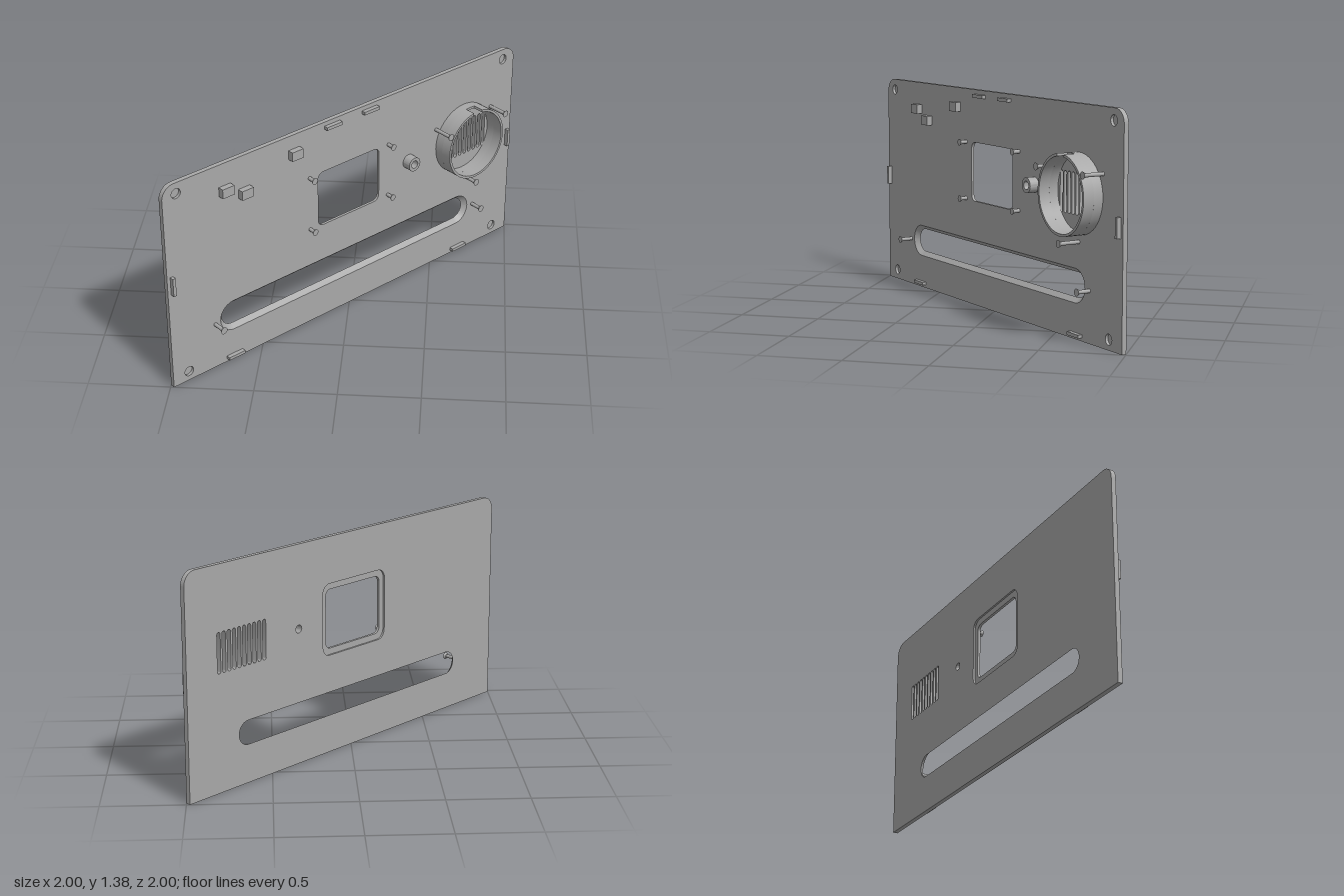
import * as THREE from 'three';
import { toCreasedNormals } from 'three/addons/utils/BufferGeometryUtils.js';

const FRONT = 0.015, BACK = -0.015, STEP = -0.003; // plate faces and recess depth
const HALF = 1.399, TOP = 1.38;
const FAN = { x: 0.96, y: 0.86 };
const SLOT = { x: -0.005, y: 0.317 };

// Outline of a box with round corners, counter-clockwise
function roundRect(cx, cy, w, h, r, seg = 10) {
  const pts = [];
  const signs = [[1, 1], [-1, 1], [-1, -1], [1, -1]];
  signs.forEach(([sx, sy], k) => {
    for (let i = 0; i <= seg; i++) {
      const a = (k + i / seg) * Math.PI / 2;
      pts.push(new THREE.Vector2(
        cx + sx * (w / 2 - r) + r * Math.cos(a),
        cy + sy * (h / 2 - r) + r * Math.sin(a)));
    }
  });
  return pts;
}

const circle = (x, y, r) => new THREE.Path().absarc(x, y, r, 0, Math.PI * 2, true);

function extrude(shape, z0, z1) {
  const g = new THREE.ExtrudeGeometry(shape, { depth: z1 - z0, bevelEnabled: false, curveSegments: 24 });
  return toCreasedNormals(g.translate(0, 0, z0), 0.5);
}

export function createModel() {
  const model = new THREE.Group();
  model.name = 'frontPanel';
  const panel = new THREE.Group();
  panel.name = 'turnedPanel';
  panel.rotation.y = Math.PI / 4;
  model.add(panel);

  const grey = new THREE.MeshStandardMaterial({ color: 0xa8a8a8 });
  grey.name = 'grey';

  function add(name, geometry, x = 0, y = 0, z = 0, parent = panel) {
    const mesh = new THREE.Mesh(geometry, grey);
    mesh.name = name;
    mesh.position.set(x, y, z);
    parent.add(mesh);
    return mesh;
  }

  // Plate outline with round top corners and the holes shared by both layers
  function plateShape() {
    const r = 0.085;
    const s = new THREE.Shape();
    s.moveTo(-HALF, 0);
    s.lineTo(HALF, 0);
    s.lineTo(HALF, TOP - r);
    s.absarc(HALF - r, TOP - r, r, 0, Math.PI / 2, false);
    s.lineTo(-HALF + r, TOP);
    s.absarc(-HALF + r, TOP - r, r, Math.PI / 2, Math.PI, false);
    s.lineTo(-HALF, 0);
    s.holes.push(new THREE.Path(roundRect(SLOT.x, SLOT.y, 2.06, 0.205, 0.1025)));
    s.holes.push(circle(0.482, 0.857, 0.025));
    for (let i = 0; i < 10; i++) {
      s.holes.push(new THREE.Path(roundRect(FAN.x + (i - 4.5) * 0.041, FAN.y - 0.005, 0.027, 0.25, 0.0134, 3)));
    }
    return s;
  }

  // Front layer: small window and blind corner holes
  const front = plateShape();
  front.holes.push(new THREE.Path(roundRect(-0.016, 0.858, 0.495, 0.375, 0.04)));
  for (const [x, y] of [[-1.302, 1.31], [1.3, 1.31], [-1.283, 0.063], [1.268, 0.063]]) {
    front.holes.push(circle(x, y, 0.032));
  }
  add('plateFront', extrude(front, STEP, FRONT));

  // Back layer: wider window recess
  const back = plateShape();
  back.holes.push(new THREE.Path(roundRect(-0.016, 0.858, 0.57, 0.455, 0.06)));
  add('plateBack', extrude(back, BACK, STEP));

  // Chamfer of the long slot, narrowing to the back
  const outer = roundRect(0, 0, 2.06, 0.205, 0.1025);
  const inner = roundRect(0, 0, 2.0, 0.15, 0.075);
  const pos = [], index = [];
  outer.forEach((p, i) => {
    const q = inner[i], a = 2 * i, b = 2 * ((i + 1) % outer.length);
    pos.push(p.x, p.y, FRONT, q.x, q.y, BACK);
    index.push(a, b, b + 1, a, b + 1, a + 1);
  });
  const slope = new THREE.BufferGeometry();
  slope.setAttribute('position', new THREE.Float32BufferAttribute(pos, 3));
  slope.setIndex(index);
  slope.computeVertexNormals();
  add('slotChamfer', slope, SLOT.x, SLOT.y);
  const lip = new THREE.Shape(outer);
  lip.holes.push(new THREE.Path(inner));
  add('slotBackLip', new THREE.ShapeGeometry(lip).rotateY(Math.PI), SLOT.x, SLOT.y, BACK);

  // Fan ring: closed lower part, upper part with a notch at the top
  const R = 0.24, r = 0.224;
  const ring = new THREE.Shape().absarc(0, 0, R, 0, Math.PI * 2, false);
  ring.holes.push(circle(0, 0, r));
  add('fanRingBase', extrude(ring, FRONT, 0.075), FAN.x, FAN.y);
  const gap = 0.15, a0 = Math.PI / 2 + gap, a1 = Math.PI * 2.5 - gap;
  const arc = new THREE.Shape();
  arc.absarc(0, 0, R, a0, a1, false);
  arc.absarc(0, 0, r, a1, a0, true);
  add('fanRingRim', extrude(arc, 0.075, 0.145), FAN.x, FAN.y);

  // Hollow boss
  const boss = new THREE.Shape().absarc(0, 0, 0.047, 0, Math.PI * 2, false);
  boss.holes.push(circle(0, 0, 0.026));
  add('boss', extrude(boss, FRONT, 0.075), 0.482, 0.857);

  // Screws: shaft with a flared head
  function screw(name, x, y, top, headR = 0.023) {
    const g = new THREE.Group();
    g.name = name;
    g.position.set(x, y, 0);
    panel.add(g);
    const len = top - FRONT;
    add('shaft', new THREE.CylinderGeometry(0.012, 0.012, len, 16).rotateX(Math.PI / 2), 0, 0, FRONT + len / 2, g);
    add('head', new THREE.CylinderGeometry(headR, 0.015, 0.014, 20).rotateX(Math.PI / 2), 0, 0, top - 0.007, g);
  }
  for (const deg of [30, 150, 270]) {
    const a = deg * Math.PI / 180;
    screw('fanScrew', FAN.x + 0.281 * Math.cos(a), FAN.y + 0.281 * Math.sin(a), 0.158);
  }
  for (const x of [-0.33, 0.307]) for (const y of [0.678, 1.04]) screw('windowScrew', x, y, 0.068, 0.021);
  for (const x of [-1.075, 1.071]) screw('slotScrew', x, 0.31, 0.104);

  // Raised tabs and blocks on the front
  function block(name, x, y, w, h, top) {
    const d = top - FRONT;
    add(name, new THREE.BoxGeometry(w, h, d), x, y, FRONT + d / 2);
  }
  for (const s of [-1, 1]) {
    block('topTab', s * 0.149, 1.342, 0.12, 0.021, 0.042);
    block('bottomTab', s * 0.94, 0.03, 0.12, 0.02, 0.042);
    block('sideTab', s * 1.367, 0.716, 0.02, 0.12, 0.042);
  }
  for (const [x, y] of [[-0.962, 1.204], [-0.823, 1.138], [-0.445, 1.257]]) {
    block('cableBlock', x, y, 0.085, 0.06, 0.053);
  }
  return model;
}
